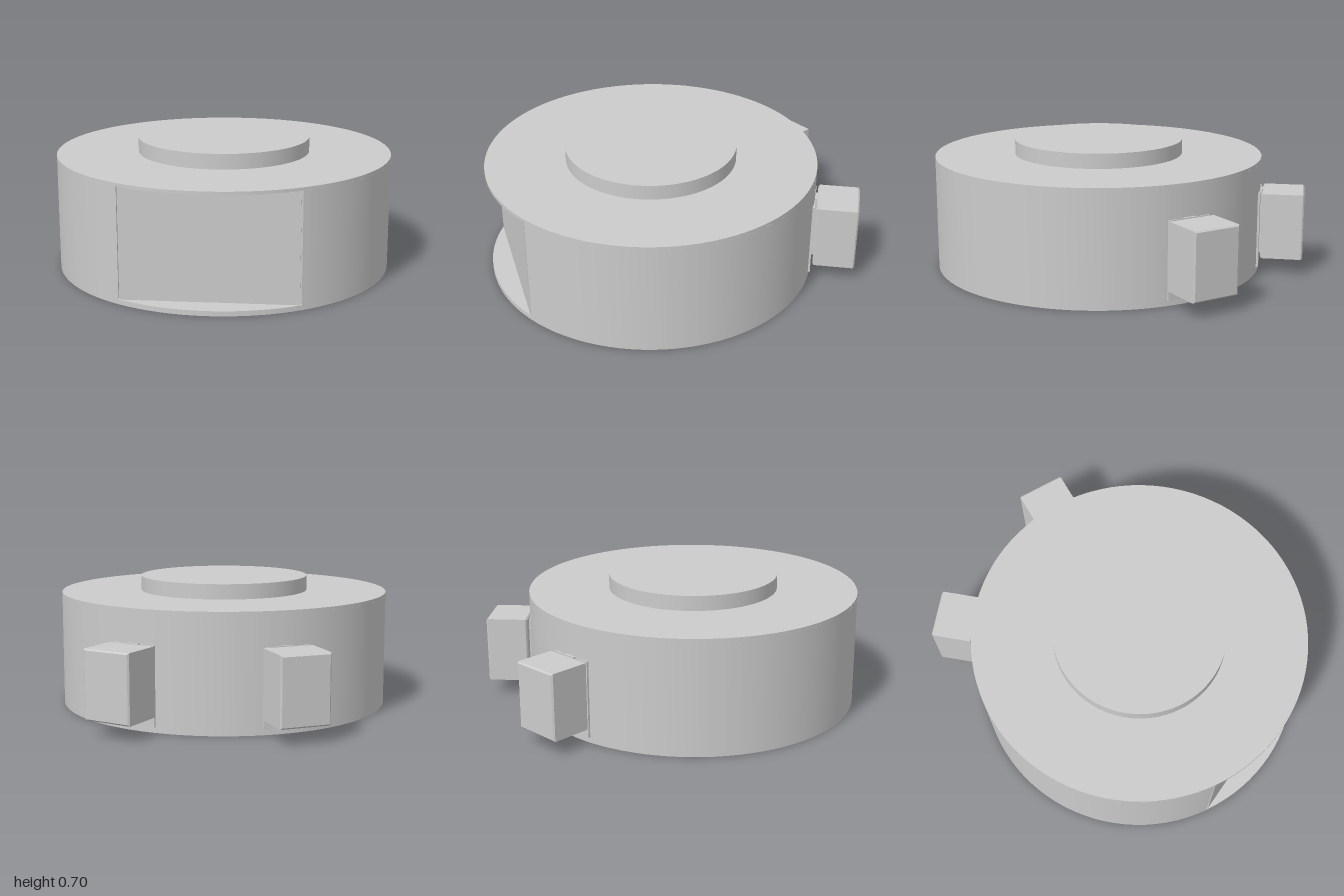
import * as THREE from 'three';
import { toCreasedNormals } from 'three/addons/utils/BufferGeometryUtils.js';

const material = new THREE.MeshStandardMaterial({ color: 0xcccccc });
const R = 0.905; // drum radius
const CZ = 0.095; // drum centre in z

function add(parent, name, geometry, x, y, z) {
  const mesh = new THREE.Mesh(geometry, material);
  mesh.name = name;
  mesh.position.set(x, y, z);
  parent.add(mesh);
  return mesh;
}

// Disc standing between two heights
function disc(parent, name, radius, y0, y1) {
  return add(parent, name, new THREE.CylinderGeometry(radius, radius, y1 - y0, 96), 0, (y0 + y1) / 2, 0);
}

// Drum wall with a flat front panel set between two narrow grooves
function drumGeometry(height) {
  const outer = 0.455, inner = 0.446, flat = 0.785, groove = 0.765;
  const a = Math.asin(outer / R);
  const shape = new THREE.Shape();
  shape.absarc(0, 0, R, Math.PI / 2 + a, Math.PI * 2.5 - a, false);
  shape.lineTo(outer, groove);
  shape.lineTo(inner, groove);
  shape.lineTo(inner, flat);
  shape.lineTo(-inner, flat);
  shape.lineTo(-inner, groove);
  shape.lineTo(-outer, groove);
  shape.closePath();
  const geometry = new THREE.ExtrudeGeometry(shape, { depth: height, bevelEnabled: false, curveSegments: 96 });
  geometry.rotateX(Math.PI / 2);
  return toCreasedNormals(geometry, 0.4);
}

// Box with small chamfers, extruded along z and centred
function chamferedBox(w, h, d, b) {
  const x = w / 2 - b, y = h / 2 - b;
  const shape = new THREE.Shape([[-x, -y], [x, -y], [x, y], [-x, y]].map(p => new THREE.Vector2(...p)));
  const geometry = new THREE.ExtrudeGeometry(shape, {
    depth: d - 2 * b, bevelEnabled: true, bevelSize: b, bevelThickness: b, bevelSegments: 1,
  });
  return geometry.center();
}

export function createModel() {
  const model = new THREE.Group();
  model.name = 'drumUnit';

  const drum = new THREE.Group();
  drum.name = 'drum';
  drum.position.z = CZ;
  model.add(drum);
  disc(drum, 'basePlate', R, 0, 0.026);
  add(drum, 'drumWall', drumGeometry(0.581), 0, 0.607, 0);
  disc(drum, 'topPlate', R, 0.607, 0.624);
  disc(drum, 'topCap', 0.465, 0.624, 0.705);

  // Rear boxes, each on a mounting plate and facing radially outwards
  for (const side of [1, -1]) {
    const unit = new THREE.Group();
    unit.name = side > 0 ? 'leftRearUnit' : 'rightRearUnit';
    unit.rotation.y = Math.PI - side * THREE.MathUtils.degToRad(25);
    drum.add(unit);
    add(unit, 'mountingPlate', new THREE.BoxGeometry(0.242, 0.415, 0.03), 0, 0.2375, 0.893);
    add(unit, 'mountingHook', new THREE.BoxGeometry(0.07, 0.36, 0.016), 0, 0.27, 0.911);
    add(unit, 'rearBox', chamferedBox(0.266, 0.36, 0.228, 0.008), 0, 0.266, 1.032);
  }
  return model;
}
